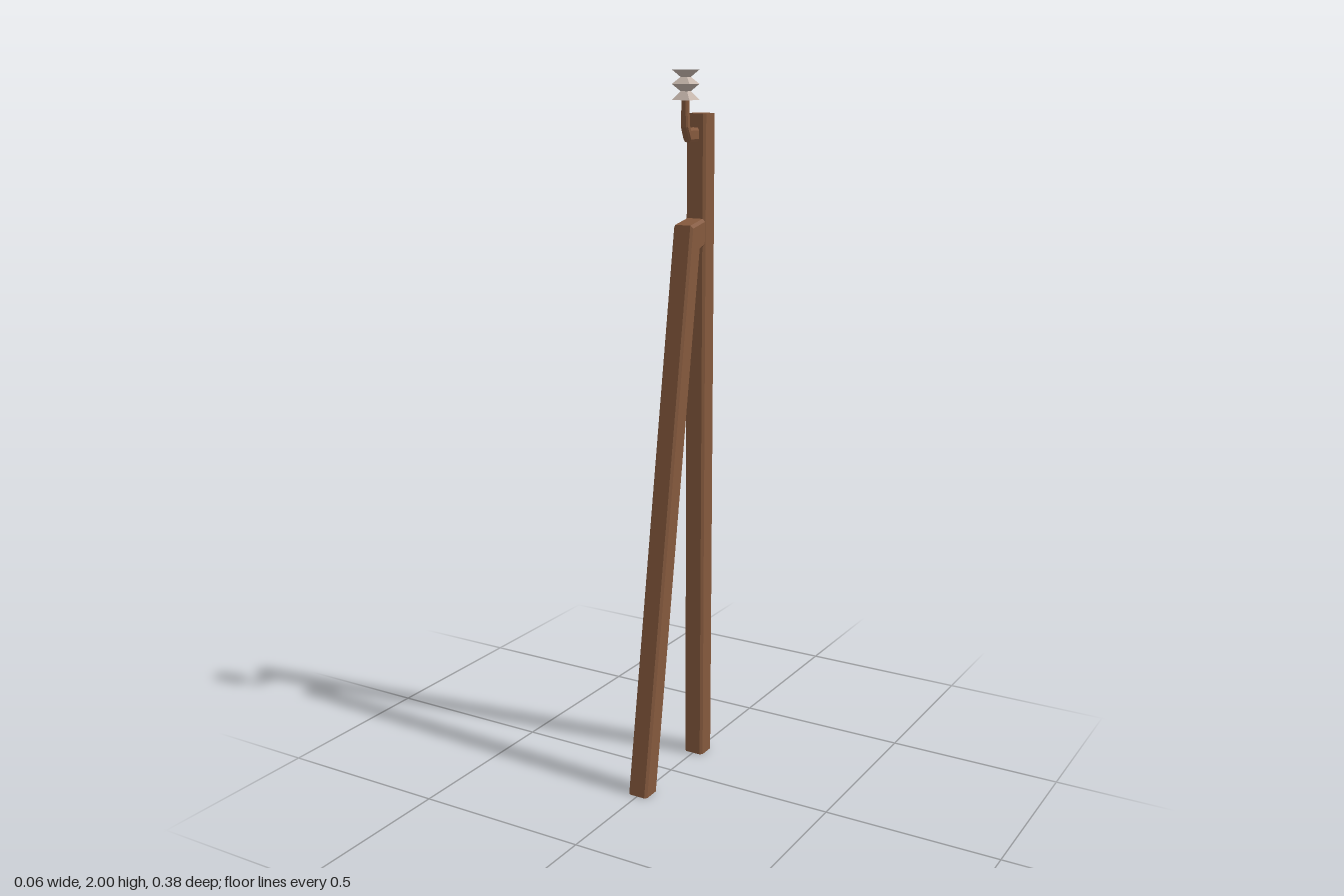
import * as THREE from 'three';

const wood = new THREE.MeshStandardMaterial({ color: 0x85593d });
wood.name = 'brownWood';
const ceramic = new THREE.MeshStandardMaterial({ color: 0xc6b6ac });
ceramic.name = 'paleCeramic';

// Square ring in (-1..1) units, counter-clockwise, with corners cut by c
function ring(c) {
  if (c === 0) return [[-1, -1], [1, -1], [1, 1], [-1, 1]];
  const k = 1 - c;
  return [[-k, -1], [k, -1], [1, -k], [1, k], [k, 1], [-k, 1], [-1, k], [-1, -k]];
}

// Flat-shaded beam through sections [outerZ, outerY, innerZ, innerY, halfWidth]
function beam(name, material, sections, cut) {
  const shape = ring(cut);
  const n = shape.length;
  const pos = [];
  const index = [];
  for (const [oz, oy, iz, iy, hw] of sections) {
    for (const [x, u] of shape) {
      const t = (u + 1) / 2;
      pos.push(x * hw, oy + (iy - oy) * t, oz + (iz - oz) * t);
    }
  }
  for (let s = 0; s < sections.length - 1; s++) {
    for (let i = 0; i < n; i++) {
      const a = s * n + i;
      const b = s * n + (i + 1) % n;
      index.push(a, b, b + n, a, b + n, a + n);
    }
  }
  // End caps
  const last = (sections.length - 1) * n;
  for (let i = 1; i < n - 1; i++) {
    index.push(0, i + 1, i, last, last + i, last + i + 1);
  }
  const indexed = new THREE.BufferGeometry();
  indexed.setAttribute('position', new THREE.Float32BufferAttribute(pos, 3));
  indexed.setIndex(index);
  const geometry = indexed.toNonIndexed();
  geometry.computeVertexNormals();
  const mesh = new THREE.Mesh(geometry, material);
  mesh.name = name;
  return mesh;
}

export function createModel() {
  const group = new THREE.Group();
  group.name = 'bracedPole';

  // Upright post
  group.add(beam('post', wood, [
    [-0.13, 0, -0.19, 0, 0.03],
    [-0.13, 1.885, -0.19, 1.885, 0.03],
  ], 0.22));

  // Leaning brace, bent at the top to meet the post
  group.add(beam('brace', wood, [
    [0.19, 0, 0.13, 0, 0.03],
    [-0.063, 1.59, -0.109, 1.517, 0.03],
    [-0.132, 1.603, -0.132, 1.525, 0.03],
  ], 0.22));

  // Hooked pin carrying the insulator
  group.add(beam('hookPin', wood, [
    [-0.132, 1.81, -0.132, 1.848, 0.012],
    [-0.087, 1.81, -0.087, 1.848, 0.012],
    [-0.067, 1.85, -0.085, 1.855, 0.011],
    [-0.067, 1.925, -0.085, 1.925, 0.009],
  ], 0.4));

  // Insulator: square flanges joined by narrow waists
  const centreZ = -0.077;
  const profile = [[1.921, 0.027], [1.944, 0.01], [1.963, 0.027], [1.981, 0.01], [2, 0.027]];
  group.add(beam('insulator', ceramic, profile.map(
    ([y, r]) => [centreZ + r, y, centreZ - r, y, r]), 0));

  return group;
}
